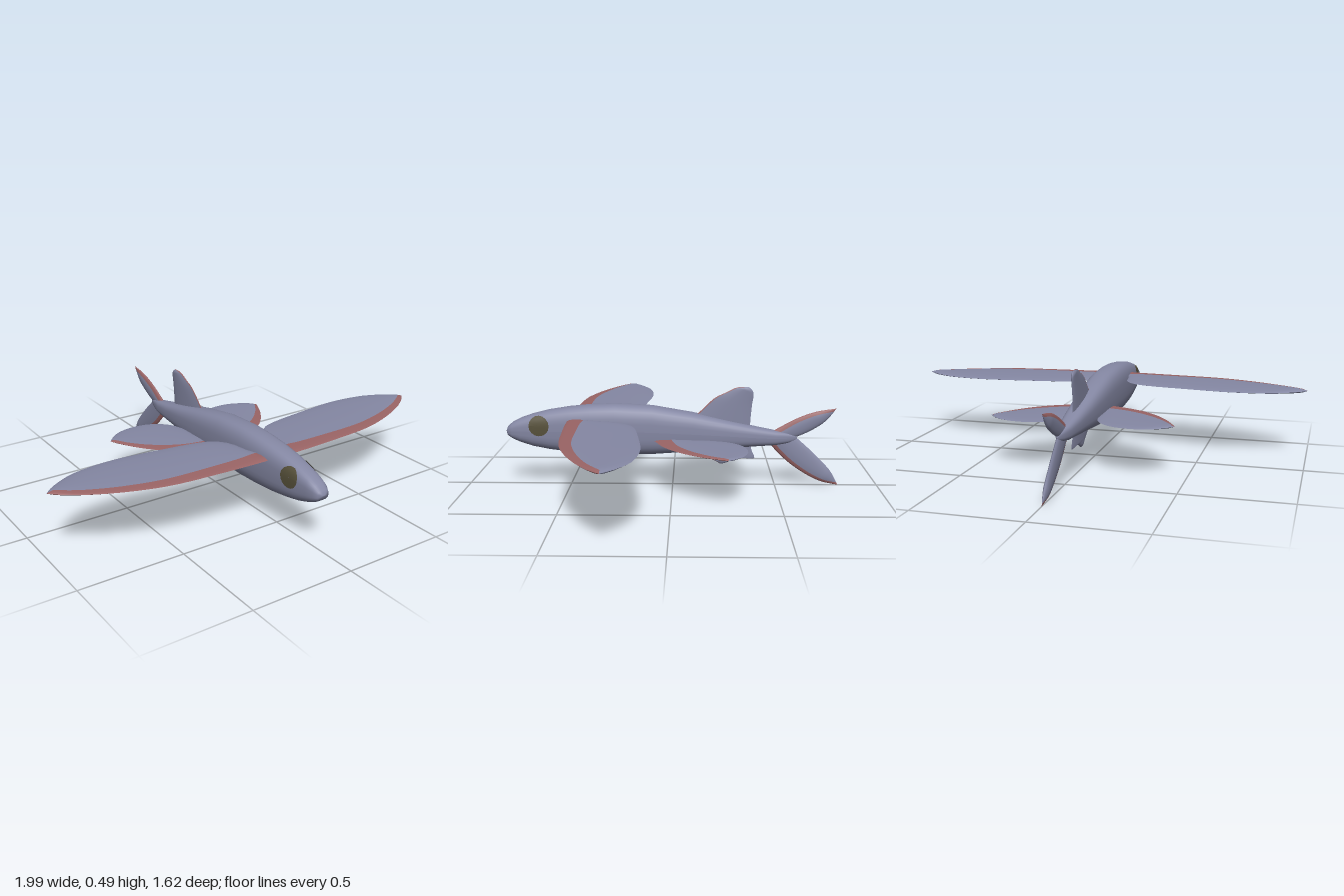
import * as THREE from 'three';

const skin = new THREE.MeshStandardMaterial({ name: 'blueGreySkin', color: 0x8588a4, side: THREE.DoubleSide });
const red = new THREE.MeshStandardMaterial({ name: 'redFinEdge', color: 0x9a6465, side: THREE.DoubleSide });
const dark = new THREE.MeshStandardMaterial({ name: 'darkEye', color: 0x56503a, side: THREE.DoubleSide });

// Smooth surface through rows of points
function loft(name, rows, material) {
  const pos = [], idx = [], n = rows[0].length;
  rows.forEach(r => r.forEach(p => pos.push(...p)));
  for (let i = 0; i < rows.length - 1; i++)
    for (let j = 0; j < n - 1; j++) {
      const a = i * n + j, b = a + n;
      idx.push(a, a + 1, b, b, a + 1, b + 1);
    }
  const g = new THREE.BufferGeometry();
  g.setAttribute('position', new THREE.Float32BufferAttribute(pos, 3));
  g.setIndex(idx);
  g.computeVertexNormals();
  const m = new THREE.Mesh(g, material);
  m.name = name;
  return m;
}

// Body stations: z, top, bottom, half width
const stations = [
  [0.81, 0.275, 0.265, 0.012], [0.803, 0.292, 0.248, 0.03], [0.78, 0.312, 0.232, 0.041],
  [0.74, 0.333, 0.214, 0.047], [0.68, 0.354, 0.195, 0.054], [0.6, 0.374, 0.18, 0.062],
  [0.5, 0.39, 0.167, 0.069], [0.4, 0.4, 0.16, 0.074], [0.28, 0.405, 0.156, 0.076],
  [0.1, 0.396, 0.158, 0.075], [-0.1, 0.362, 0.172, 0.068], [-0.25, 0.328, 0.187, 0.058],
  [-0.4, 0.295, 0.198, 0.045], [-0.5, 0.275, 0.204, 0.033], [-0.56, 0.264, 0.214, 0.02],
  [-0.6, 0.25, 0.228, 0.006]];
const POWER = 2.8;

function makeBody() {
  const ring = ([z, top, bottom, w]) => {
    const pts = [];
    for (let j = 0; j <= 32; j++) {
      const a = (j % 32) / 32 * Math.PI * 2;
      const c = Math.cos(a), s = Math.sin(a);
      const bend = v => Math.sign(v) * Math.abs(v) ** (2 / POWER);
      pts.push([w * bend(c), (top + bottom) / 2 + (top - bottom) / 2 * bend(s), z]);
    }
    return pts;
  };
  const nose = Array(33).fill([0, 0.27, 0.811]);
  const end = Array(33).fill([0, 0.239, -0.605]);
  return loft('body', [nose, ...stations.map(ring), end].map(r => r.slice().reverse()), skin);
}

// Half width of the body at a given height and length
function bodyX(y, z) {
  const i = stations.findIndex(s => s[0] <= z);
  const a = stations[i - 1], b = stations[i], t = (z - a[0]) / (b[0] - a[0]);
  const [, top, bottom, w] = a.map((v, k) => v + (b[k] - v) * t);
  const q = Math.min(0.995, Math.abs(y - (top + bottom) / 2) / ((top - bottom) / 2));
  return w * (1 - q ** POWER) ** (1 / POWER);
}

// Eye patch wrapped on the side of the head
function makeEye(side) {
  const g = new THREE.RingGeometry(0.0005, 0.05, 16, 6);
  const p = g.attributes.position;
  for (let i = 0; i < p.count; i++) {
    const z = 0.645 + p.getX(i), y = 0.303 + p.getY(i) * 0.98;
    p.setXYZ(i, side * (bodyX(y, z) + 0.004), y, z);
  }
  g.computeVertexNormals();
  const m = new THREE.Mesh(g, dark);
  m.name = side > 0 ? 'leftEye' : 'rightEye';
  return m;
}

// Lens-section fin between a leading and a trailing outline, with a coloured front strip
function makeFin(name, { lead, trail, thick, strip, place }) {
  const curve = pts => new THREE.SplineCurve(pts.map(p => new THREE.Vector2(...p)));
  const L = curve(lead), T = curve(trail), group = new THREE.Group();
  group.name = name;
  for (const face of [1, -1]) {
    const edgeRows = [], bladeRows = [];
    for (let i = 0; i <= 28; i++) {
      const s = i / 28, a = L.getPointAt(s), b = T.getPointAt(s), chord = a.distanceTo(b);
      const width = strip[0] + (strip[1] - strip[0]) * s;
      const r = chord < 1e-5 ? 0.5 : Math.min(0.95, width / chord);
      const point = f => {
        const p = a.clone().lerp(b, f);
        const t = thick * Math.sqrt(Math.max(0, Math.sin(Math.PI * f))) * Math.min(1, chord / 0.07);
        return place(p.x, p.y, face * t);
      };
      edgeRows.push([0, 0.1, 0.3, 0.6, 1].map(k => point(r * k)));
      bladeRows.push([0, 0.15, 0.35, 0.6, 0.8, 0.93, 1].map(k => point(r + (1 - r) * k)));
    }
    group.add(loft(name + 'Edge', edgeRows, red), loft(name + 'Blade', bladeRows, skin));
  }
  return group;
}

export function createModel() {
  const model = new THREE.Group();
  model.name = 'flyingFish';
  model.add(makeBody());

  for (const side of [1, -1]) {
    const label = side > 0 ? 'left' : 'right';
    model.add(makeEye(side));

    // Large wing-like fins
    model.add(makeFin(label + 'WingFin', {
      lead: [[0.02, 0.505], [0.12, 0.505], [0.3, 0.497], [0.53, 0.478], [0.7, 0.432], [0.85, 0.365], [0.95, 0.3], [0.995, 0.255]],
      trail: [[0.04, 0.44], [0.075, 0.37], [0.09, 0.275], [0.13, 0.212], [0.21, 0.173], [0.4, 0.143], [0.62, 0.121],
        [0.8, 0.139], [0.9, 0.18], [0.96, 0.222], [0.995, 0.255]],
      thick: 0.01, strip: [0.085, 0.025],
      place: (x, z, t) => [side * x, 0.33 + t, z]
    }));

    // Smaller rear fins
    model.add(makeFin(label + 'RearFin', {
      lead: [[0.02, 0.1], [0.08, 0.083], [0.2, 0.035], [0.3, -0.04], [0.38, -0.14], [0.44, -0.255]],
      trail: [[0.03, 0.0], [0.06, -0.1], [0.066, -0.2], [0.1, -0.28], [0.17, -0.335], [0.26, -0.352], [0.34, -0.337],
        [0.4, -0.3], [0.44, -0.255]],
      thick: 0.007, strip: [0.085, 0.02],
      place: (x, z, t) => [side * x, 0.236 + t, z]
    }));
  }

  // Upright fins on the centre line
  const upright = (z, y, t) => [t, y, z];
  model.add(makeFin('backFin', {
    lead: [[-0.1, 0.34], [-0.14, 0.375], [-0.2, 0.432], [-0.26, 0.463], [-0.31, 0.486], [-0.365, 0.489]],
    trail: [[-0.375, 0.28], [-0.377, 0.33], [-0.383, 0.4], [-0.39, 0.45], [-0.382, 0.475], [-0.365, 0.489]],
    thick: 0.009, strip: [0.007, 0.004], place: upright
  }));
  model.add(makeFin('bellyFin', {
    lead: [[-0.1, 0.19], [-0.13, 0.167], [-0.18, 0.137], [-0.235, 0.106]],
    trail: [[-0.38, 0.22], [-0.384, 0.18], [-0.398, 0.135], [-0.34, 0.142], [-0.295, 0.13], [-0.265, 0.114], [-0.235, 0.106]],
    thick: 0.008, strip: [0.005, 0.003], place: upright
  }));
  model.add(makeFin('upperTailFin', {
    lead: [[-0.47, 0.262], [-0.52, 0.292], [-0.6, 0.335], [-0.69, 0.368], [-0.79, 0.385]],
    trail: [[-0.52, 0.225], [-0.58, 0.237], [-0.65, 0.265], [-0.72, 0.306], [-0.76, 0.345], [-0.79, 0.385]],
    thick: 0.013, strip: [0.024, 0.014], place: upright
  }));
  model.add(makeFin('lowerTailFin', {
    lead: [[-0.47, 0.212], [-0.52, 0.158], [-0.58, 0.105], [-0.66, 0.052], [-0.73, 0.02], [-0.81, 0.003]],
    trail: [[-0.52, 0.26], [-0.57, 0.262], [-0.63, 0.215], [-0.7, 0.15], [-0.77, 0.075], [-0.81, 0.003]],
    thick: 0.013, strip: [0.022, 0.012], place: upright
  }));
  return model;
}
